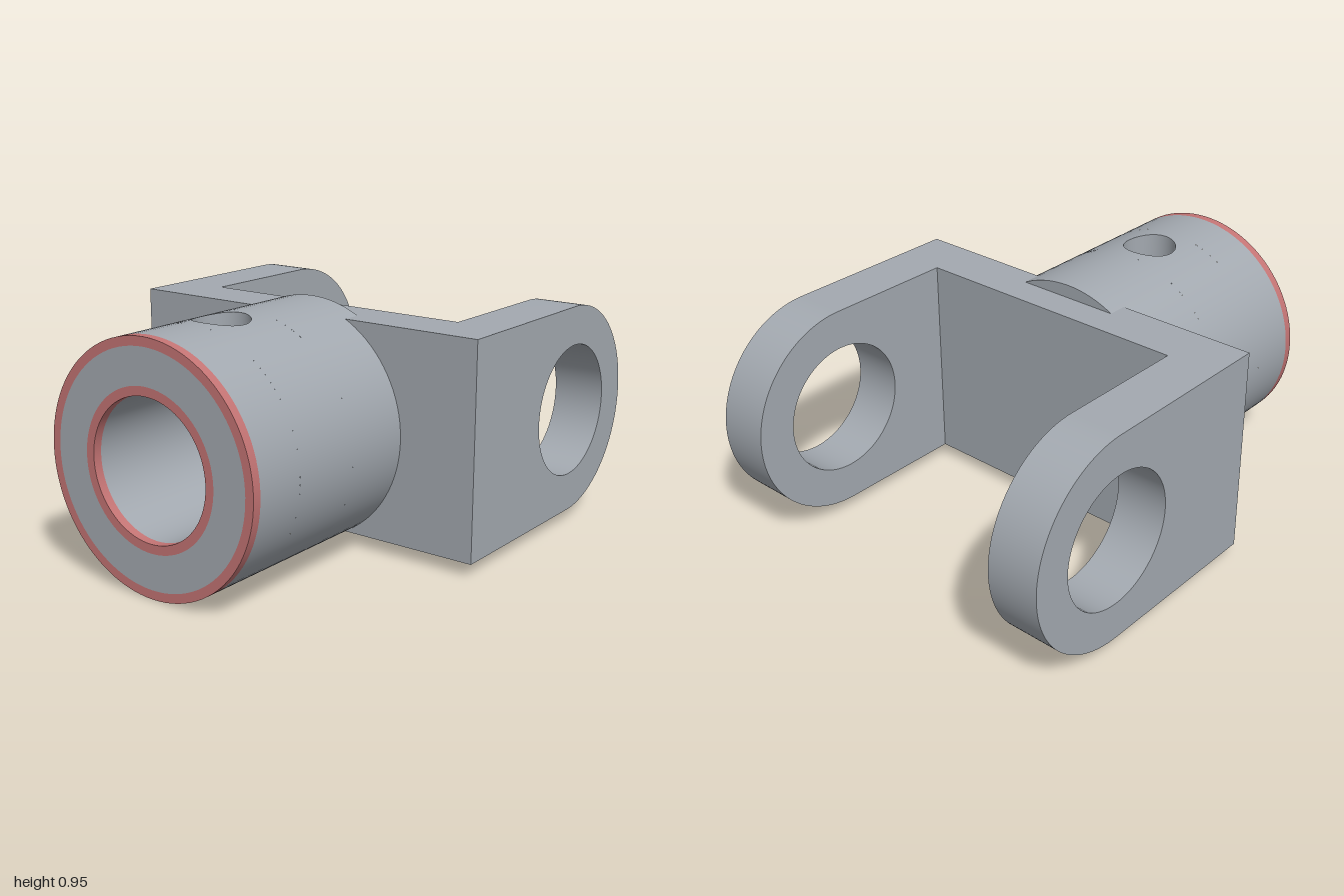
import * as THREE from 'three';
import { toCreasedNormals } from 'three/addons/utils/BufferGeometryUtils.js';
import { ParametricGeometry } from 'three/addons/geometries/ParametricGeometry.js';

const CY = 0.476;                 // height of the common axis
const R = 0.473, BORE = 0.265;    // shank outer and bore radius
const X0 = -1, X1 = -0.083;       // shank ends
const FLOOR = -0.16;              // bottom of the blind bore
const BAND = 0.035;               // width of the red edge marking
const HX = -0.607, HR = 0.107;    // cross hole on top of the shank
const PT = 0.6, PX = 0.15;        // half size of the patch around the cross hole
const TAU = Math.PI * 2;

export function createModel() {
  const steel = new THREE.MeshStandardMaterial({ color: 0xa3a9b0 });
  steel.name = 'steel grey';
  const red = new THREE.MeshStandardMaterial({ color: 0xc47474 });
  red.name = 'edge red';

  const model = new THREE.Group();
  model.name = 'forkEnd';
  const shank = new THREE.Group();
  shank.name = 'shank';
  const fork = new THREE.Group();
  fork.name = 'fork';
  model.add(shank, fork);

  const add = (group, name, geometry, material = steel) => {
    const mesh = new THREE.Mesh(geometry, material);
    mesh.name = name;
    group.add(mesh);
    return mesh;
  };

  // Point on a cylinder about the x axis; angle 0 is straight up
  const onCylinder = (p, r, x, t) => p.set(x, CY + r * Math.cos(t), r * Math.sin(t));

  // Parametric surface, optionally turned inside out
  const surface = (fn, nu, nv, inward) => inward
    ? new ParametricGeometry((u, v, p) => fn(v, u, p), nv, nu)
    : new ParametricGeometry(fn, nu, nv);

  const tube = (r, xa, xb, inward, t0 = 0, t1 = TAU) => surface(
    (u, v, p) => onCylinder(p, r, xa + (xb - xa) * v, t0 + (t1 - t0) * u), 96, 1, inward);

  // Square patch of cylinder wall with the cross hole cut out
  const holedPatch = (r, inward) => surface((u, v, p) => {
    const c = Math.cos(v * TAU), s = Math.sin(v * TAU);
    const m = Math.max(Math.abs(c), Math.abs(s));
    const t = THREE.MathUtils.lerp(Math.asin(HR * c / r), PT * c / m, u);
    onCylinder(p, r, HX + THREE.MathUtils.lerp(HR * s, PX * s / m, u), t);
  }, 8, 64, inward);

  // Shank walls, outside and bore
  for (const [name, r, end, inward] of [['shankWall', R, X1, false], ['boreWall', BORE, FLOOR, true]]) {
    add(shank, name + 'Outer', tube(r, X0 + BAND, HX - PX, inward));
    add(shank, name + 'Middle', tube(r, HX - PX, HX + PX, inward, PT, TAU - PT));
    add(shank, name + 'Patch', holedPatch(r, inward));
    add(shank, name + 'Inner', tube(r, HX + PX, end, inward));
    add(shank, name + 'EdgeBand', tube(r, X0, X0 + BAND, inward), red);
  }

  // Side of the cross hole, from bore to outside
  add(shank, 'crossHoleWall', surface((u, v, p) => {
    const z = HR * Math.cos(v * TAU);
    const y = THREE.MathUtils.lerp(Math.sqrt(BORE * BORE - z * z), Math.sqrt(R * R - z * z), u);
    p.set(HX + HR * Math.sin(v * TAU), CY + y, z);
  }, 2, 64, false));

  // Flat end faces
  const disc = (name, geometry, x, dir, material) => {
    geometry.rotateY(dir * Math.PI / 2).translate(x, CY, 0);
    add(shank, name, geometry, material);
  };
  disc('endFace', new THREE.RingGeometry(BORE + BAND, R - BAND, 96), X0, -1, steel);
  disc('outerEdgeRing', new THREE.RingGeometry(R - BAND, R, 96), X0, -1, red);
  disc('boreEdgeRing', new THREE.RingGeometry(BORE, BORE + BAND, 96), X0, -1, red);
  disc('boreFloor', new THREE.CircleGeometry(BORE, 96), FLOOR, -1, steel);
  disc('shankInnerEnd', new THREE.CircleGeometry(R, 96), X1, 1, steel);

  // Fork arms with rounded ends and pin holes
  const armR = 0.42, pinX = 0.58, back = -0.16, inner = 0.58, outer = 0.79;
  const shape = new THREE.Shape();
  shape.moveTo(back, -armR);
  shape.lineTo(pinX, -armR);
  shape.absarc(pinX, 0, armR, -Math.PI / 2, Math.PI / 2, false);
  shape.lineTo(back, armR);
  shape.closePath();
  shape.holes.push(new THREE.Path().absarc(pinX, 0, 0.265, 0, TAU, true));
  const arm = toCreasedNormals(new THREE.ExtrudeGeometry(shape,
    { depth: outer - inner, bevelEnabled: false, curveSegments: 48 }), 0.5);
  add(fork, 'frontArm', arm).position.set(0, CY, inner);
  add(fork, 'backArm', arm).position.set(0, CY, -outer);

  // Bridge plate joining the arms
  const plateW = 0.048 - back;
  add(fork, 'bridgePlate', new THREE.BoxGeometry(plateW, armR * 2, inner * 2))
    .position.set(back + plateW / 2, CY, 0);

  return model;
}
